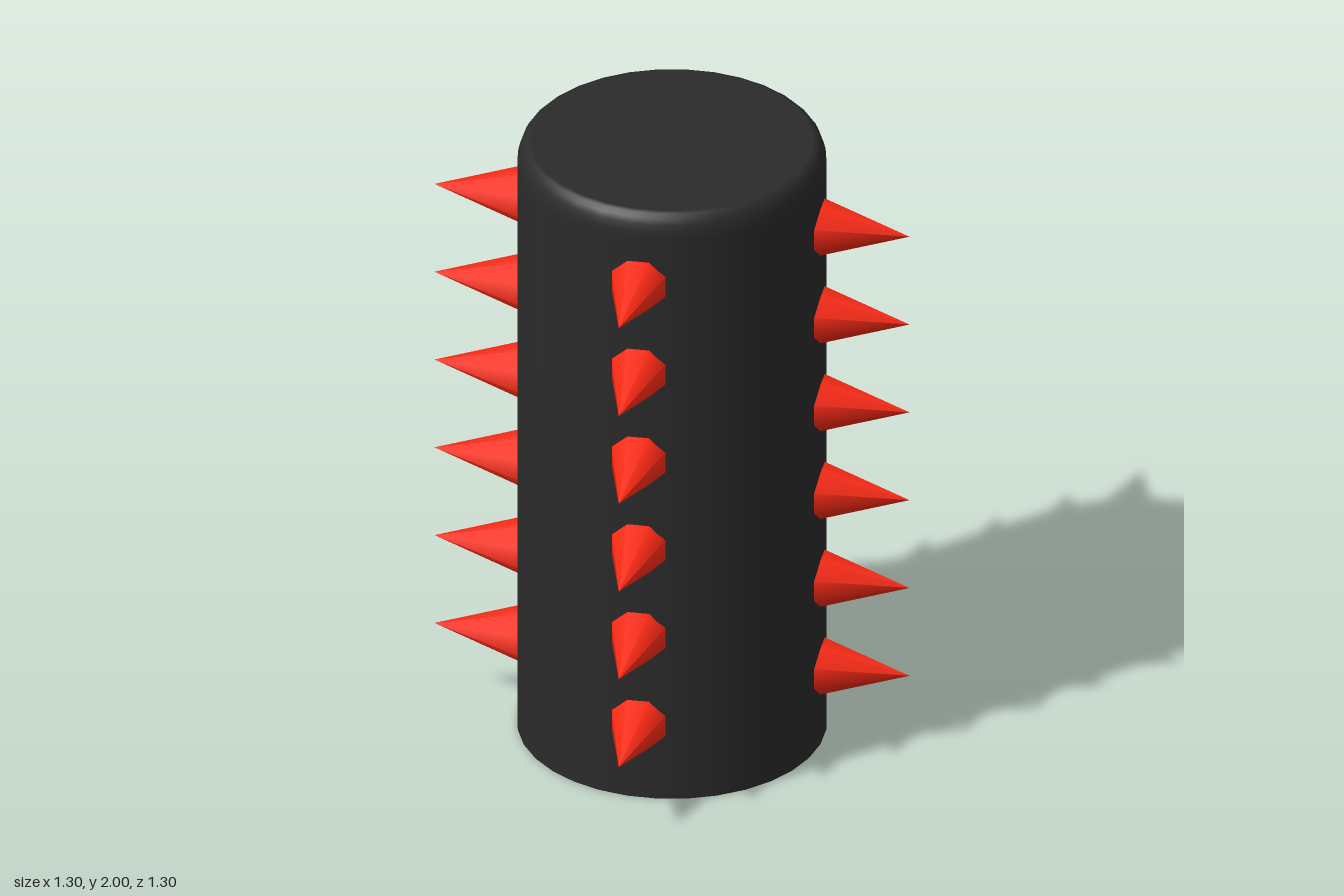
import * as THREE from 'three';

const RADIUS = 0.463, HEIGHT = 2, RIM = 0.425, SIDES = 32;

export function createModel() {
  const model = new THREE.Group();
  model.name = 'spikedCylinder';
  const dark = new THREE.MeshStandardMaterial({ color: 0x2b2b2b });
  const red = new THREE.MeshStandardMaterial({ color: 0xff2a14 });

  const add = (parent, name, geometry, material) => {
    const mesh = new THREE.Mesh(geometry, material);
    mesh.name = name;
    parent.add(mesh);
    return mesh;
  };

  // Body wall with a rounded upper rim
  const profile = [new THREE.Vector2(RADIUS, 0), new THREE.Vector2(RADIUS, 1)];
  for (let i = 0; i <= 5; i++) {
    const a = (i / 5) * Math.PI / 2;
    profile.push(new THREE.Vector2(
      RIM + (RADIUS - RIM) * Math.cos(a), HEIGHT - 0.08 + 0.08 * Math.sin(a)));
  }
  add(model, 'bodyWall', new THREE.LatheGeometry(profile, SIDES), dark);

  // Flat end caps
  const top = add(model, 'topCap', new THREE.CircleGeometry(RIM, SIDES), dark);
  top.rotation.x = -Math.PI / 2;
  top.position.y = HEIGHT;
  const bottom = add(model, 'bottomCap', new THREE.CircleGeometry(RADIUS, SIDES), dark);
  bottom.rotation.x = Math.PI / 2;

  // Eight-sided spike pointing outwards, its base sunk into the body
  const tip = 0.727, base = 0.4;
  const spike = new THREE.ConeGeometry((tip - base) * 0.325, tip - base, 8)
    .rotateY(Math.PI / 8)
    .rotateZ(-Math.PI / 2)
    .translate((tip + base) / 2, 0, 0);

  // Four columns of six spikes, a quarter turn apart
  for (let c = 0; c < 4; c++) {
    const column = new THREE.Group();
    column.name = 'spikeColumn';
    column.rotation.y = Math.atan2(1, 2) + c * Math.PI / 2;
    for (let r = 0; r < 6; r++) {
      add(column, 'spike', spike, red).position.y = 0.25 + r * 0.302;
    }
    model.add(column);
  }
  return model;
}
